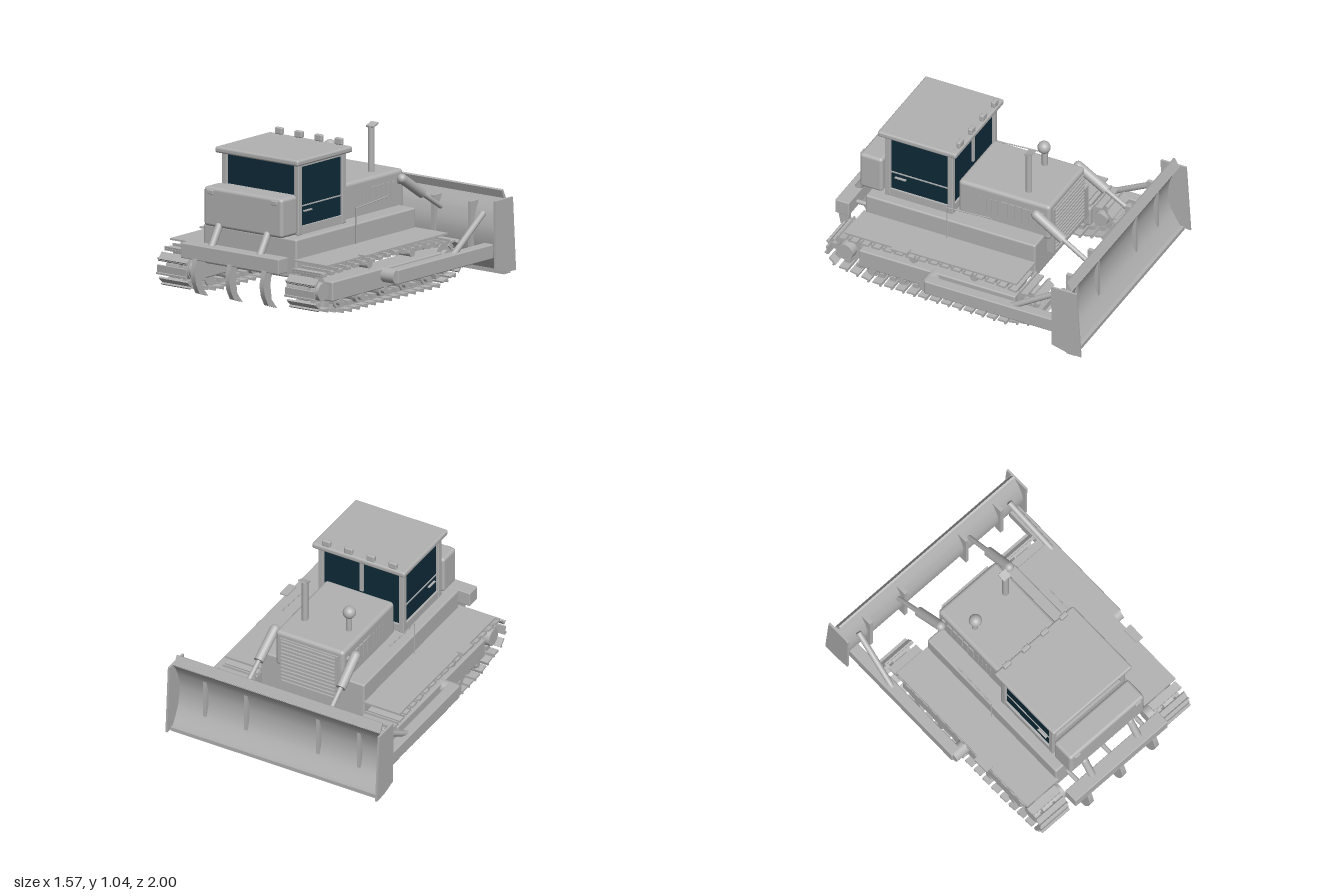
import * as THREE from 'three';
import { mergeGeometries, toCreasedNormals } from 'three/addons/utils/BufferGeometryUtils.js';
import { RoundedBoxGeometry } from 'three/addons/geometries/RoundedBoxGeometry.js';

export function createModel() {
  const root = new THREE.Group();
  root.name = 'bulldozer';
  const paint = new THREE.MeshStandardMaterial({ color: 0xb2b2b2 });
  paint.name = 'grey paint';
  const glass = new THREE.MeshStandardMaterial({ color: 0x0e2a38 });
  glass.name = 'dark glass';

  const add = (name, geo, mat = paint) => {
    const m = new THREE.Mesh(geo, mat);
    m.name = name;
    root.add(m);
    return m;
  };
  // Box given by its limits on each axis; r rounds the edges
  const box = (name, [x0, x1], [y0, y1], [z0, z1], r = 0, mat = paint) => {
    const s = [x1 - x0, y1 - y0, z1 - z0];
    const g = r ? new RoundedBoxGeometry(...s, 3, r) : new THREE.BoxGeometry(...s);
    const m = add(name, g, mat);
    m.position.set((x0 + x1) / 2, (y0 + y1) / 2, (z0 + z1) / 2);
    return m;
  };
  // Cylinder between two points
  const rod = (name, a, b, r, r2 = r, sides = 20) => {
    const p = new THREE.Vector3(...a), q = new THREE.Vector3(...b);
    const d = q.clone().sub(p);
    const m = add(name, new THREE.CylinderGeometry(r2, r, d.length(), sides));
    m.position.copy(p).add(q).multiplyScalar(0.5);
    m.quaternion.setFromUnitVectors(new THREE.Vector3(0, 1, 0), d.normalize());
    return m;
  };
  // Side profile in (z, y) extruded along x
  const profile = (name, shape, x, width) => {
    let g = new THREE.ExtrudeGeometry(shape, { depth: width, bevelEnabled: false, curveSegments: 20 });
    g.translate(0, 0, -width / 2);
    g.rotateY(-Math.PI / 2);
    g = toCreasedNormals(g, 0.6);
    add(name, g).position.x = x;
  };
  const poly = pts => new THREE.Shape(pts.map(p => new THREE.Vector2(...p)));
  const sideBox = (name, s, [x0, x1], y, z, r = 0, mat = paint) =>
    box(name, s > 0 ? [x0, x1] : [-x1, -x0], y, z, r, mat);

  // Hull and hood
  box('hull', [-0.385, 0.385], [0.22, 0.48], [-0.465, 0.765], 0.012);
  box('hood', [-0.255, 0.255], [0.45, 0.715], [-0.505, 0.16], 0.025);
  box('grille', [-0.215, 0.215], [0.33, 0.675], [-0.515, -0.45]);
  for (let i = 0; i < 12; i++) {
    const y = 0.345 + i * 0.028;
    box('grilleSlat', [-0.2, 0.2], [y, y + 0.012], [-0.528, -0.51]);
  }

  // Cab: glazed core, corner posts, sill and roof
  box('cabGlass', [-0.3, 0.3], [0.52, 0.95], [0.185, 0.64], 0, glass);
  box('cabSill', [-0.315, 0.315], [0.47, 0.535], [0.17, 0.655]);
  box('rearPanel', [-0.3, 0.3], [0.5, 0.74], [0.63, 0.66]);
  box('roof', [-0.345, 0.345], [0.945, 0.985], [0.13, 0.7], 0.014);
  box('frontPost', [-0.012, 0.012], [0.7, 0.95], [0.172, 0.19]);
  for (const x of [-0.25, -0.085, 0.08, 0.245])
    box('roofLight', [x - 0.03, x + 0.03], [0.985, 1.03], [0.135, 0.165], 0.008);

  // Rear tank with lamps
  box('rearTank', [-0.325, 0.325], [0.49, 0.75], [0.675, 0.84], 0.022);

  // Exhaust with rain cap, and air intake
  rod('exhaustPipe', [0.15, 0.7, -0.3], [0.15, 1.02, -0.3], 0.022);
  box('exhaustCap', [0.12, 0.18], [1.017, 1.029], [-0.34, -0.28]).rotation.x = 0.35;
  rod('intakeStem', [-0.155, 0.7, -0.26], [-0.155, 0.83, -0.26], 0.02);
  add('intakeBowl', new THREE.SphereGeometry(0.043, 24, 16)).position.set(-0.155, 0.85, -0.255);

  // Blade: curved moldboard, guard, cutting edge and ribs
  const board = new THREE.Shape();
  const v = (z, y) => new THREE.Vector2(z, y);
  board.moveTo(-0.925, 0.52);
  board.splineThru([v(-0.868, 0.42), v(-0.84, 0.3), v(-0.858, 0.17), v(-0.935, 0.03)]);
  board.lineTo(-0.9, 0.03);
  board.splineThru([v(-0.833, 0.16), v(-0.812, 0.3), v(-0.838, 0.42), v(-0.89, 0.52)]);
  profile('moldboard', board, 0, 1.56);
  profile('bladeGuard', poly([[-0.925, 0.515], [-0.893, 0.58], [-0.88, 0.573], [-0.9, 0.515]]), 0, 1.53);
  box('cuttingEdge', [-0.775, 0.775], [0.018, 0.045], [-0.955, -0.89]);
  for (const x of [-0.575, -0.27, 0.265, 0.57])
    box('bladeRib', [x - 0.013, x + 0.013], [0.1, 0.49], [-0.868, -0.79]);

  // Ripper beam, shanks and links
  box('ripperBeam', [-0.405, 0.405], [0.288, 0.388], [0.875, 0.975], 0.006);
  for (const x of [-0.285, 0, 0.285]) {
    profile('ripperShank', poly([[0.91, 0.3], [0.93, 0.2], [0.915, 0.1], [0.86, 0.035],
      [0.95, 0.065], [0.985, 0.13], [1.0, 0.2], [0.975, 0.3]]), x, 0.035);
    rod('ripperLink', [x, 0.33, 0.74], [x, 0.33, 0.9], 0.015);
  }

  // Path followed by the track chain, in (z, y)
  const path = new THREE.Path();
  path.moveTo(-0.36, 0.026);
  path.lineTo(0.58, 0.026);
  path.absarc(0.79, 0.175, 0.11, -1.75, 1.65, false);
  path.lineTo(0.4, 0.295);
  path.lineTo(0.05, 0.305);
  path.lineTo(-0.3, 0.292);
  path.absarc(-0.515, 0.17, 0.106, 1.45, 4.4, false);
  path.lineTo(-0.36, 0.026);
  const count = 40, pieces = [];
  for (let i = 0; i < count; i++) {
    const p = path.getPointAt(i / count), t = path.getTangentAt(i / count);
    const X = new THREE.Vector3(1, 0, 0);
    const Y = new THREE.Vector3(0, -t.x, t.y);
    const M = new THREE.Matrix4().makeBasis(X, Y, X.clone().cross(Y));
    M.setPosition(0, p.y, p.x);
    // shoe plate, grouser bar and inner link of one track segment
    for (const [w, h, d, y, z] of [[0.24, 0.013, 0.062, 0.006, 0],
      [0.24, 0.014, 0.012, 0.019, 0.022], [0.12, 0.032, 0.042, -0.016, 0]])
      pieces.push(new THREE.BoxGeometry(w, h, d).translate(0, y, z).applyMatrix4(M));
  }
  const trackGeo = mergeGeometries(pieces);

  for (const s of [1, -1]) {
    const at = (x, y, z) => [s * x, y, z];
    const axle = (name, x0, x1, y, z, r, r2 = r) => rod(name, at(x0, y, z), at(x1, y, z), r, r2, 28);

    // Running gear
    add('track', trackGeo).position.x = s * 0.53;
    sideBox('trackFrame', s, [0.45, 0.625], [0.09, 0.222], [-0.44, 0.69], 0.01);
    axle('sprocket', 0.49, 0.57, 0.175, 0.79, 0.098);
    axle('sprocketHub', 0.44, 0.63, 0.175, 0.79, 0.068, 0.058);
    axle('idler', 0.48, 0.58, 0.17, -0.515, 0.092);
    axle('idlerHub', 0.44, 0.61, 0.17, -0.515, 0.05);
    for (const z of [0.6, 0.38, 0.14, -0.08, -0.3]) {
      axle('roadRoller', 0.46, 0.6, 0.075, z, 0.045);
      axle('rollerCap', 0.6, 0.625, 0.075, z, 0.025);
    }
    for (const z of [0.3, -0.14]) axle('carrierRoller', 0.46, 0.62, 0.272, z, 0.028);
    axle('finalDrive', 0.37, 0.46, 0.175, 0.79, 0.06);
    sideBox('fender', s, [0.375, 0.65], [0.338, 0.35], [-0.465, 0.78]);
    sideBox('step', s, [0.63, 0.685], [0.35, 0.36], [0.31, 0.43]);

    // Push arm, trunnion and blade brace
    sideBox('pushArm', s, [0.665, 0.742], [0.128, 0.225], [-0.83, 0.16], 0.008);
    axle('trunnion', 0.6, 0.73, 0.177, 0.15, 0.048);
    rod('bladeBrace', at(0.7, 0.21, -0.46), at(0.66, 0.42, -0.82), 0.02);
    add('braceEnd', new THREE.SphereGeometry(0.022, 16, 12)).position.set(...at(0.7, 0.21, -0.46));
    profile('bladeEndPlate', poly([[-0.785, 0.52], [-0.968, 0.52], [-1.0, 0.03],
      [-0.9, 0.035], [-0.79, 0.065]]), s * 0.78, 0.014);

    // Lift cylinder
    rod('liftCylinder', at(0.3, 0.665, -0.43), at(0.305, 0.535, -0.63), 0.033);
    add('liftCylinderEnd', new THREE.SphereGeometry(0.033, 20, 14)).position.set(...at(0.3, 0.665, -0.43));
    rod('liftRod', at(0.305, 0.54, -0.62), at(0.31, 0.415, -0.82), 0.016);
    rod('liftBracket', at(0.24, 0.64, -0.45), at(0.3, 0.64, -0.45), 0.018);

    // Ripper cylinder
    rod('ripperCylinder', at(0.2, 0.36, 0.92), at(0.2, 0.5, 0.835), 0.025);
    add('ripperCylinderEnd', new THREE.SphereGeometry(0.025, 16, 12)).position.set(...at(0.2, 0.5, 0.835));

    // Cab posts, side window frame and door bar
    for (const z of [0.165, 0.62]) sideBox('cabPost', s, [0.28, 0.318], [0.48, 0.95], [z, z + 0.04], 0.006);
    sideBox('windowHeader', s, [0.29, 0.315], [0.928, 0.95], [0.19, 0.64]);
    sideBox('doorBar', s, [0.298, 0.306], [0.662, 0.67], [0.2, 0.63]);
    sideBox('doorHandle', s, [0.3, 0.315], [0.626, 0.634], [0.51, 0.59]);
    sideBox('rearLamp', s, [0.24, 0.29], [0.705, 0.735], [0.83, 0.85], 0.006);

    // Hood louvres and handrail
    for (const z of [0.0, -0.04, -0.08, -0.12])
      sideBox('hoodSlit', s, [0.25, 0.259], [0.53, 0.645], [z - 0.005, z + 0.005]);
    for (let i = 0; i < 5; i++)
      sideBox('hoodLouvre', s, [0.25, 0.262], [0.53, 0.65], [-0.2 - i * 0.052, -0.16 - i * 0.052]);
    rod('railPost', at(0.4, 0.35, 0.165), at(0.4, 0.59, 0.165), 0.004, 0.004, 8);
    rod('handrail', at(0.4, 0.588, 0.165), at(0.4, 0.61, -0.16), 0.004, 0.004, 8);
  }
  return root;
}
